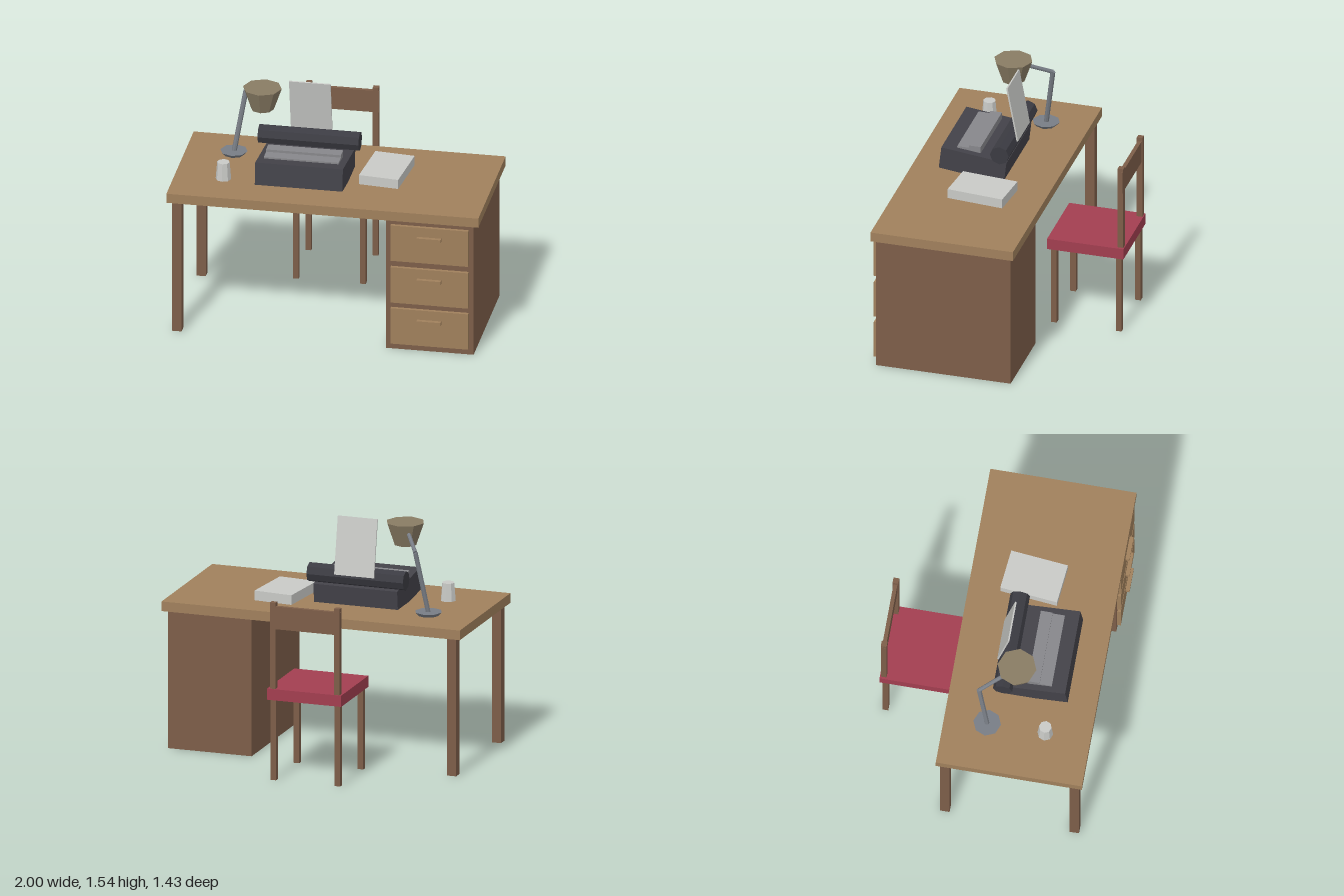
import * as THREE from 'three';

const mat = (name, color) => {
  const m = new THREE.MeshStandardMaterial({ color, flatShading: true });
  m.name = name;
  return m;
};

export function createModel() {
  const root = new THREE.Group();
  root.name = 'writingDesk';
  const M = {
    wood: mat('light wood', 0xa0805c),
    dark: mat('dark wood', 0x7d5e49),
    red: mat('red cushion', 0xa23e50),
    black: mat('charcoal', 0x434249),
    roller: mat('roller black', 0x3b3b42),
    keys: mat('key grey', 0x87878b),
    paper: mat('paper white', 0xc8c9c6),
    metal: mat('lamp metal', 0x787d85),
    shade: mat('olive shade', 0x897c64),
  };

  const group = (name) => {
    const g = new THREE.Group();
    g.name = name;
    root.add(g);
    return g;
  };
  const add = (parent, name, geo, m, x, y, z) => {
    const mesh = new THREE.Mesh(geo, m);
    mesh.name = name;
    mesh.position.set(x, y, z);
    parent.add(mesh);
    return mesh;
  };
  // box given by its extents
  const box = (parent, name, m, [x0, x1], [y0, y1], [z0, z1]) =>
    add(parent, name, new THREE.BoxGeometry(x1 - x0, y1 - y0, z1 - z0), m,
      (x0 + x1) / 2, (y0 + y1) / 2, (z0 + z1) / 2);
  // upright eight-sided cylinder given by its bottom and top heights
  const drum = (parent, name, m, rTop, rBottom, x, y0, y1, z) =>
    add(parent, name, new THREE.CylinderGeometry(rTop, rBottom, y1 - y0, 8), m, x, (y0 + y1) / 2, z);
  // rod between two points
  const rod = (parent, name, m, r, a, b) => {
    const d = b.clone().sub(a);
    const c = a.clone().add(b).multiplyScalar(0.5);
    const mesh = add(parent, name, new THREE.CylinderGeometry(r, r, d.length(), 8), m, c.x, c.y, c.z);
    mesh.quaternion.setFromUnitVectors(new THREE.Vector3(0, 1, 0), d.normalize());
  };

  // Desk
  const desk = group('desk');
  box(desk, 'deskTop', M.wood, [-1, 1], [0.9, 0.963], [-0.245, 0.69]);
  box(desk, 'drawerCabinet', M.dark, [0.405, 0.965], [0, 0.9], [-0.22, 0.665]);
  for (const z of [-0.222, 0.606]) box(desk, 'deskLeg', M.dark, [-0.967, -0.907], [0, 0.9], [z, z + 0.06]);
  for (const y of [0.743, 0.452, 0.166]) {
    box(desk, 'drawerFront', M.wood, [0.436, 0.934], [y - 0.123, y + 0.123], [0.665, 0.688]);
    box(desk, 'drawerHandle', M.wood, [0.607, 0.762], [y + 0.036, y + 0.059], [0.688, 0.714]);
  }

  // Chair
  const chair = group('chair');
  box(chair, 'seat', M.red, [-0.375, 0.122], [0.527, 0.6], [-0.714, -0.213]);
  for (const x of [-0.362, 0.068]) {
    box(chair, 'frontChairLeg', M.dark, [x, x + 0.037], [0, 0.527], [-0.271, -0.234]);
    box(chair, 'backChairLeg', M.dark, [x, x + 0.037], [0, 0.527], [-0.697, -0.66]);
    box(chair, 'backPost', M.dark, [x, x + 0.037], [0.6, 1.163], [-0.708, -0.671]);
  }
  box(chair, 'backRail', M.dark, [-0.364, 0.107], [0.99, 1.138], [-0.702, -0.677]);

  // Typewriter
  const writer = group('typewriter');
  add(writer, 'typewriterBody', new THREE.BoxGeometry(0.562, 0.148, 0.43), M.black, -0.187, 1.036, 0.2845)
    .rotation.x = -0.115;
  box(writer, 'frontKeyRow', M.keys, [-0.43, 0.05], [1.08, 1.134], [0.32, 0.398]);
  box(writer, 'rearKeyRow', M.keys, [-0.43, 0.05], [1.08, 1.15], [0.244, 0.32]);
  add(writer, 'roller', new THREE.CylinderGeometry(0.062, 0.062, 0.647, 8), M.roller, -0.192, 1.152, 0.098)
    .rotation.z = Math.PI / 2;
  add(writer, 'paperSheet', new THREE.BoxGeometry(0.266, 0.375, 0.01), M.paper, -0.19, 1.351, 0.069)
    .rotation.x = 0.184;

  // Paper stack and cup
  add(root, 'paperStack', new THREE.BoxGeometry(0.258, 0.063, 0.371), M.paper, 0.313, 0.9945, 0.155)
    .rotation.y = -0.1;
  drum(root, 'cup', M.paper, 0.04, 0.05, -0.688, 0.963, 1.08, 0.402);

  // Desk lamp
  const lamp = group('lamp');
  const foot = new THREE.Vector3(-0.69, 0.975, 0.03);
  const elbow = new THREE.Vector3(-0.625, 1.382, -0.033);
  const head = new THREE.Vector3(-0.49, 1.488, 0.165);
  drum(lamp, 'lampBase', M.metal, 0.088, 0.066, -0.69, 0.963, 0.987, 0.03);
  rod(lamp, 'lowerArm', M.metal, 0.016, foot, elbow);
  rod(lamp, 'upperArm', M.metal, 0.013, elbow, head);
  drum(lamp, 'lampShade', M.shade, 0.124, 0.073, -0.479, 1.368, 1.514, 0.184);

  return root;
}
